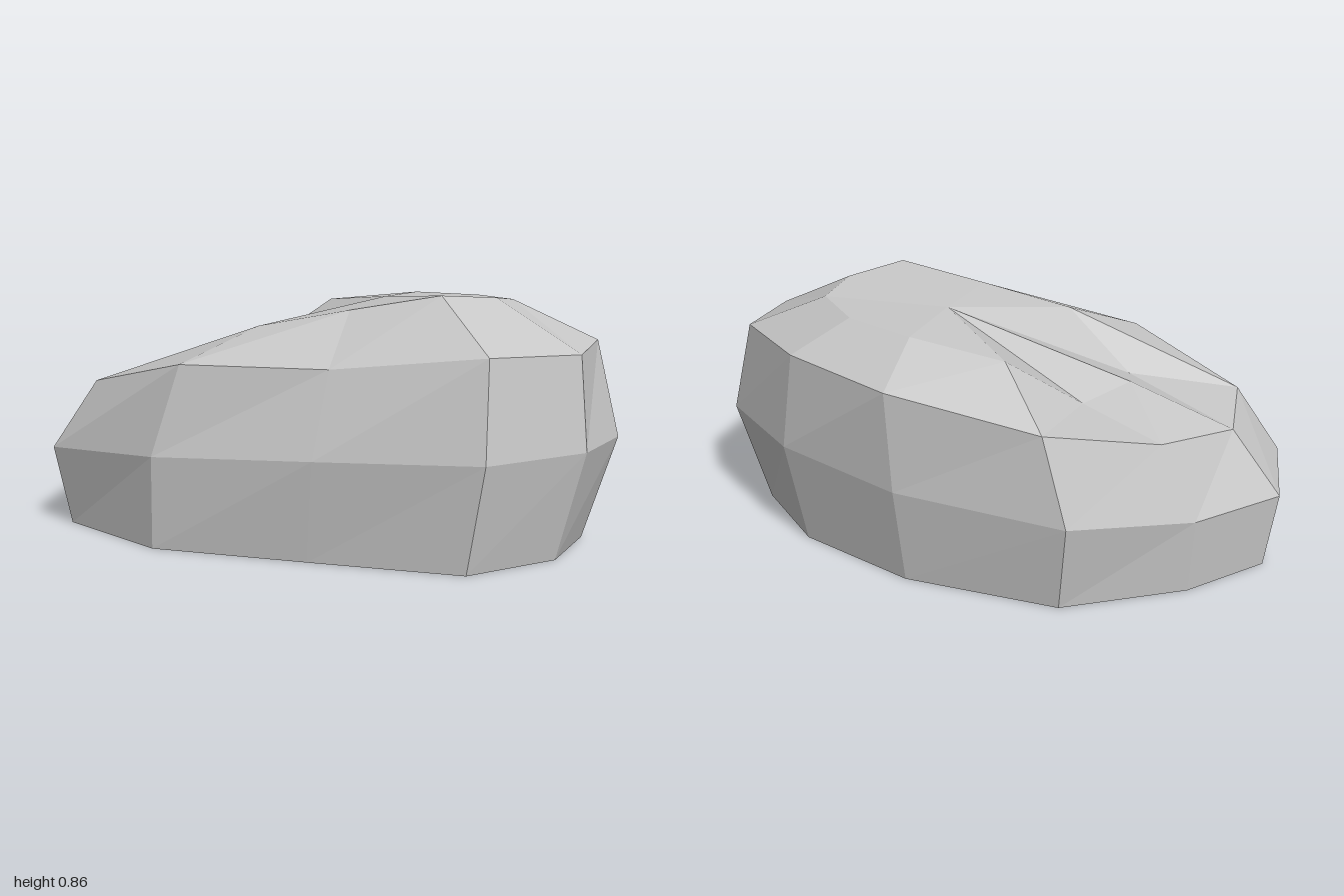
import * as THREE from 'three';

// Horizontal cross-sections of the boulder, bottom to top.
// Each starts at the -x end and runs by the front (+z) to +x and round the back.
const foot = [
  [-0.96, 0, 0.0], [-0.855, 0, 0.36], [-0.42, 0, 0.565], [0.13, 0, 0.525],
  [0.66, 0, 0.48], [0.875, 0, 0.19], [0.887, 0, -0.13], [0.6, 0, -0.385],
  [0.15, 0, -0.54], [-0.4, 0, -0.54], [-0.765, 0, -0.275],
];
const waist = [
  [-1, 0.26, 0.015], [-0.915, 0.275, 0.375], [-0.41, 0.32, 0.58], [0.16, 0.345, 0.555],
  [0.725, 0.365, 0.5], [0.97, 0.367, 0.185], [1, 0.36, -0.155], [0.66, 0.36, -0.42],
  [0.17, 0.34, -0.582], [-0.435, 0.31, -0.582], [-0.785, 0.265, -0.29],
];
const shoulder = [
  [-0.83, 0.49, -0.005], [-0.77, 0.515, 0.31], [-0.33, 0.628, 0.52], [0.185, 0.634, 0.47],
  [0.71, 0.695, 0.43], [0.935, 0.68, 0.145], [0.92, 0.69, -0.155], [0.63, 0.695, -0.39],
  [0.2, 0.685, -0.567], [-0.34, 0.61, -0.55], [-0.66, 0.525, -0.29],
];
const crown = [
  [-0.47, 0.618, -0.02], [-0.41, 0.57, 0.17], [-0.14, 0.74, 0.3], [0.18, 0.805, 0.27],
  [0.49, 0.863, 0.243], [0.62, 0.843, 0.06], [0.63, 0.82, -0.115], [0.46, 0.812, -0.27],
  [0.2, 0.804, -0.35], [-0.14, 0.763, -0.35], [-0.36, 0.59, -0.2],
];
const peak = [0.185, 0.817, -0.06];
const base = [0, 0, 0];

// Skin consecutive rings with triangles and close both ends with fans
function skinRings(rings, bottom, top) {
  const n = rings[0].length;
  const positions = [];
  const tri = (...corners) => corners.forEach((p) => positions.push(...p));
  const last = rings[rings.length - 1];
  for (let i = 0; i < n; i++) {
    const j = (i + 1) % n;
    for (let r = 0; r < rings.length - 1; r++) {
      const lower = rings[r], upper = rings[r + 1];
      tri(lower[i], lower[j], upper[j]);
      tri(lower[i], upper[j], upper[i]);
    }
    tri(last[i], last[j], top);
    tri(rings[0][j], rings[0][i], bottom);
  }
  const geometry = new THREE.BufferGeometry();
  geometry.setAttribute('position', new THREE.Float32BufferAttribute(positions, 3));
  geometry.computeVertexNormals(); // unshared corners give flat facets
  return geometry;
}

export function createModel() {
  const stone = new THREE.MeshStandardMaterial({ color: 0xc6c6c6, flatShading: true });
  stone.name = 'light stone grey';

  const boulder = new THREE.Mesh(skinRings([foot, waist, shoulder, crown], base, peak), stone);
  boulder.name = 'boulder';

  const model = new THREE.Group();
  model.name = 'rock';
  model.add(boulder);
  return model;
}
